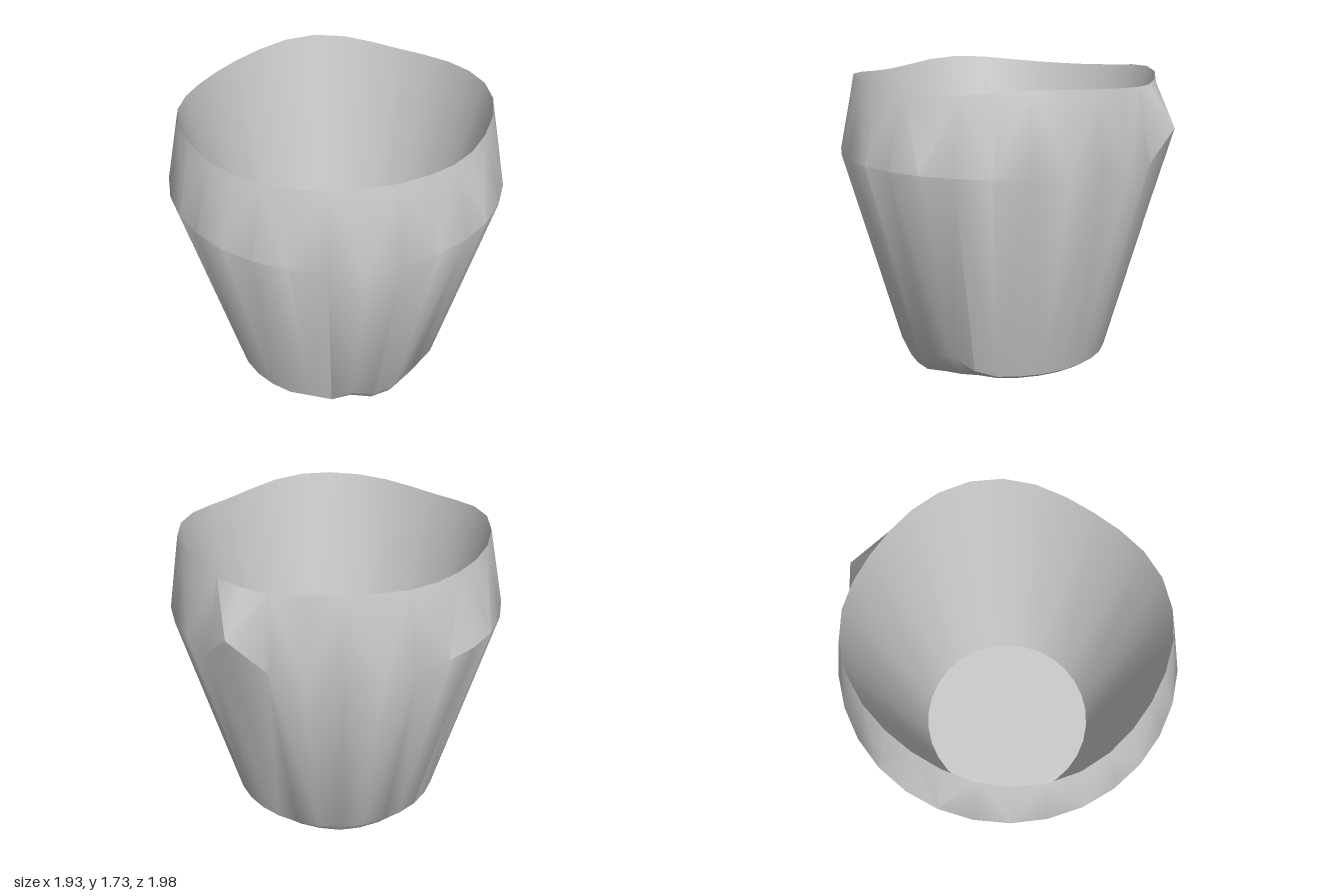
import * as THREE from 'three';
import { toCreasedNormals } from 'three/addons/utils/BufferGeometryUtils.js';

const SIDES = 30;
const deg = (j) => 6 + 12 * j; // angle from the front (+z) towards +x

// A ring of points; radius and height are rules of the angle
function ring(radius, height, centreZ = 0.03, stretchX = 1) {
  return Array.from({ length: SIDES }, (_, j) => {
    const a = THREE.MathUtils.degToRad(deg(j));
    const r = radius(j, a);
    return new THREE.Vector3(r * Math.sin(a) * stretchX, height(j, a), centreZ + r * Math.cos(a));
  });
}

// Skin between successive rings, with alternating diagonals
function loft(rings) {
  const pos = [];
  const tri = (a, b, c) => {
    const area = b.clone().sub(a).cross(c.clone().sub(a)).length();
    if (area > 1e-7) for (const p of [a, b, c]) pos.push(p.x, p.y, p.z);
  };
  for (let i = 0; i < rings.length - 1; i++) {
    for (let j = 0; j < SIDES; j++) {
      const k = (j + 1) % SIDES;
      const a = rings[i][j], b = rings[i][k], c = rings[i + 1][k], d = rings[i + 1][j];
      if (j % 2) { tri(a, b, c); tri(a, c, d); }
      else { tri(a, b, d); tri(b, c, d); }
    }
  }
  const g = new THREE.BufferGeometry();
  g.setAttribute('position', new THREE.Float32BufferAttribute(pos, 3));
  return toCreasedNormals(g, 0.55);
}

export function createModel() {
  const group = new THREE.Group();
  group.name = 'wornPot';
  const material = new THREE.MeshStandardMaterial({ color: 0xcccccc, side: THREE.DoubleSide });
  const add = (name, rings) => {
    const mesh = new THREE.Mesh(loft(rings), material);
    mesh.name = name;
    group.add(mesh);
  };

  // Chips knocked out of the bottom edge: ring index -> height of the chip
  const chips = { 1: 0.08, 3: 0.13, 6: 0.14, 7: 0.17, 8: 0.09, 26: 0.14 };
  const footY = (j) => chips[j] ?? 0.06;

  // Slightly uneven base with two low points
  const base = ring(
    (j) => (chips[j] ? 0.54 : 0.58),
    (j) => {
      const low = Math.max(0, 1 - Math.abs(deg(j) - 61) / 50, 1 - Math.abs(deg(j) - 225) / 50);
      return 0.035 * (1 - low);
    }
  );
  const foot = ring((j) => 0.62 + 0.283 * (footY(j) - 0.06), footY);

  // Widest ring, with one corner pulled up at the back where the lip is broken
  const isBreak = (j) => j === 15;
  const belly = ring((j) => (isBreak(j) ? 1.03 : 0.965), (j) => (isBreak(j) ? 1.45 : 1.28));

  // Wavy sharp rim
  const rim = ring(
    (j, a) => 0.88 - 0.018 * Math.cos(4 * a),
    (j, a) => 1.71 - 0.02 * Math.cos(4 * a) + 0.004 * Math.sin(7 * a),
    0.02, 0.98
  );
  const floor = ring(() => 0.53, () => 0.12);

  add('outerWall', [base, foot, belly, rim]);
  add('base', [ring(() => 0, () => 0.02), base]);
  add('innerWall', [rim, floor]);
  add('floor', [floor, ring(() => 0, () => 0.12)]);
  return group;
}
